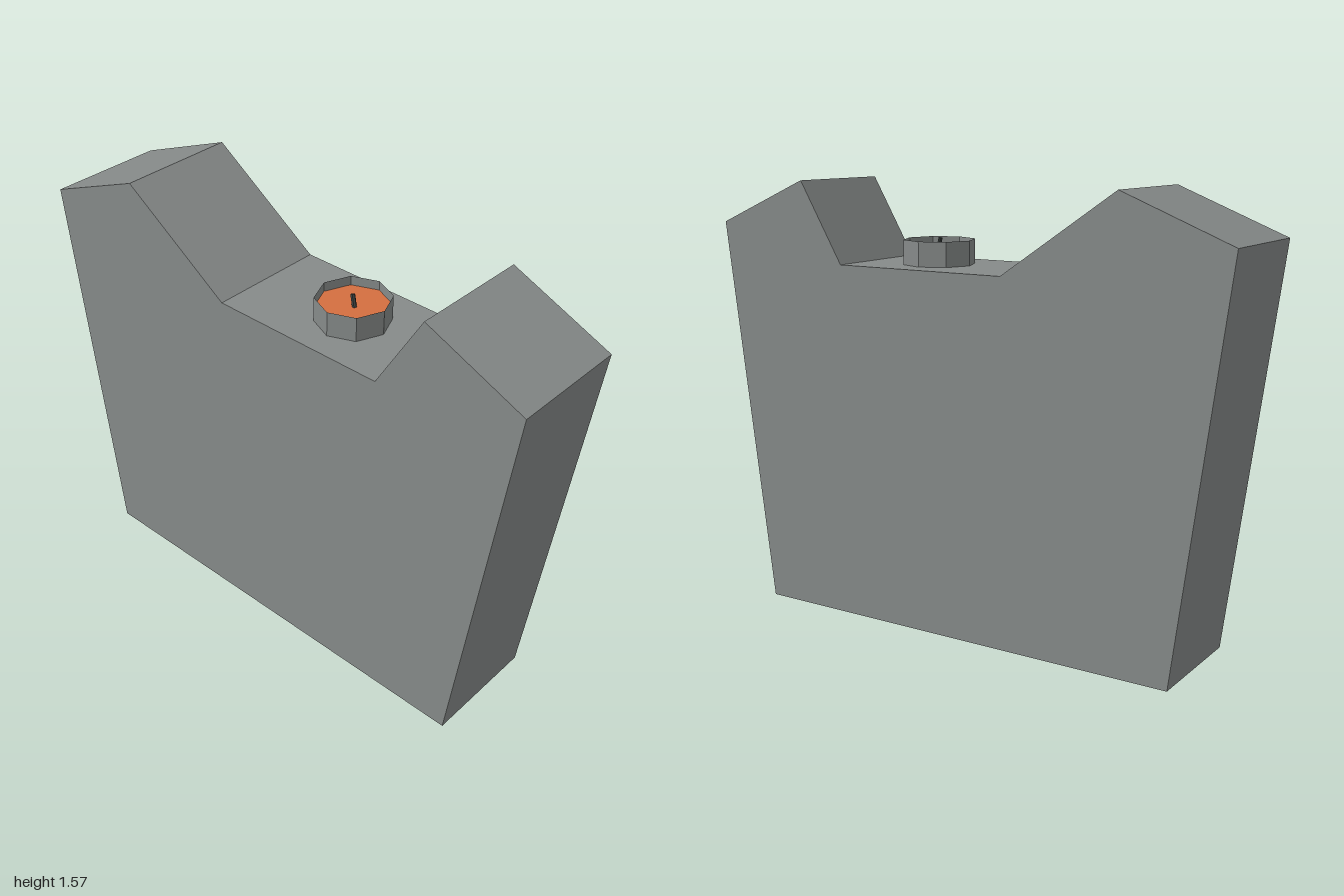
import * as THREE from 'three';

const steel = new THREE.MeshStandardMaterial({ color: 0x868a89, flatShading: true, side: THREE.DoubleSide });
steel.name = 'grey shell';
const orange = new THREE.MeshStandardMaterial({ color: 0xd46f40, flatShading: true, side: THREE.DoubleSide });
orange.name = 'orange lid';
const dark = new THREE.MeshStandardMaterial({ color: 0x3a3f3e, flatShading: true });
dark.name = 'dark peg';

const HALF = 0.214;
// side outline as (z, y), from the front foot over the top to the back foot
const OUTLINE = [
  [0.82, 0], [1, 1.413], [0.635, 1.57], [0.465, 1.283],
  [-0.19, 1.283], [-0.61, 1.57], [-1, 1.413], [-0.82, 0],
];

function add(parent, name, geometry, material) {
  const mesh = new THREE.Mesh(geometry, material);
  mesh.name = name;
  parent.add(mesh);
  return mesh;
}

// strip of flat panels along the outline; the underside stays open
function rimGeometry() {
  const p = [];
  for (let i = 0; i < OUTLINE.length - 1; i++) {
    const [za, ya] = OUTLINE[i], [zb, yb] = OUTLINE[i + 1];
    const a = [-HALF, ya, za], b = [HALF, ya, za], c = [HALF, yb, zb], d = [-HALF, yb, zb];
    p.push(...a, ...b, ...c, ...a, ...c, ...d);
  }
  const g = new THREE.BufferGeometry();
  g.setAttribute('position', new THREE.Float32BufferAttribute(p, 3));
  g.computeVertexNormals();
  return g;
}

export function createModel() {
  const model = new THREE.Group();
  model.name = 'canister';

  // hollow body: end and top panels plus two side walls
  const body = new THREE.Group();
  body.name = 'body';
  model.add(body);
  add(body, 'endAndTopPanels', rimGeometry(), steel);
  const shape = new THREE.Shape(OUTLINE.map(([z, y]) => new THREE.Vector2(z, y)));
  for (const side of [1, -1]) {
    const wall = add(body, side > 0 ? 'leftWall' : 'rightWall', new THREE.ShapeGeometry(shape), steel);
    wall.rotation.y = -Math.PI / 2;
    wall.position.x = side * HALF;
  }

  // octagonal filler neck with a sunken lid
  const neck = new THREE.Group();
  neck.name = 'fillerNeck';
  neck.position.set(0, 1.283, 0.193);
  model.add(neck);
  const collar = add(neck, 'collar', new THREE.CylinderGeometry(0.127, 0.127, 0.087, 8, 1, true), steel);
  collar.position.y = 0.0435;
  const lid = add(neck, 'lid', new THREE.CircleGeometry(0.1265, 8), orange);
  lid.rotation.x = -Math.PI / 2;
  lid.position.y = 0.054;

  // small leaning peg on the lid
  const foot = new THREE.Vector3(-0.004, 0.05, 0.008);
  const tip = new THREE.Vector3(0.004, 0.092, -0.008);
  const lean = tip.clone().sub(foot);
  const peg = add(neck, 'peg', new THREE.CylinderGeometry(0.008, 0.008, lean.length(), 6), dark);
  peg.position.copy(foot).add(tip).multiplyScalar(0.5);
  peg.quaternion.setFromUnitVectors(new THREE.Vector3(0, 1, 0), lean.normalize());

  return model;
}
